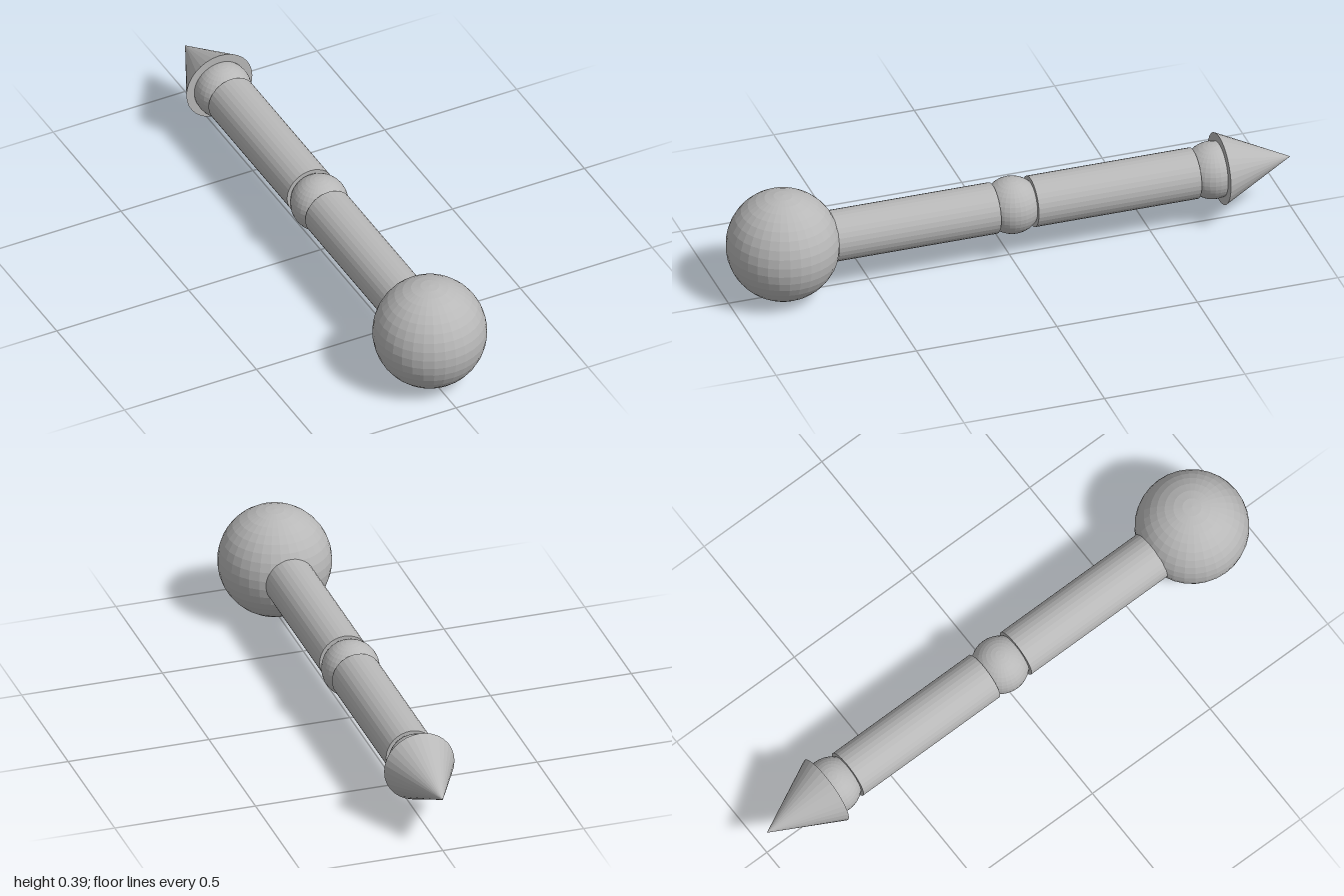
import * as THREE from 'three';

export function createModel() {
  const group = new THREE.Group();
  group.name = 'jointedRod';
  const grey = new THREE.MeshStandardMaterial({ color: 0xb8b8b8, flatShading: true });
  grey.name = 'plain grey';
  const axisY = 0.195;

  const add = (name, geometry, z) => {
    const mesh = new THREE.Mesh(geometry, grey);
    mesh.name = name;
    mesh.position.set(0, axisY, z);
    group.add(mesh);
  };
  const ball = (name, radius, z, rows) =>
    add(name, new THREE.SphereGeometry(radius, 32, rows), z);
  // Round part running along z, from its front end to its back end
  const rod = (name, frontRadius, backRadius, zFront, zBack) =>
    add(name, new THREE.CylinderGeometry(frontRadius, backRadius, zFront - zBack, 32)
      .rotateX(Math.PI / 2), (zFront + zBack) / 2);

  // Large ball at the front
  ball('frontBall', 0.194, 0.806, 19);

  // Two rods with a ball joint behind each
  rod('frontRod', 0.088, 0.088, 0.65, 0.058);
  ball('middleJoint', 0.099, -0.009, 19);
  rod('backRod', 0.088, 0.088, -0.076, -0.656);
  ball('tipJoint', 0.099, -0.722, 19);

  // Pointed tip
  rod('coneTip', 0.125, 0, -0.747, -1);

  return group;
}
